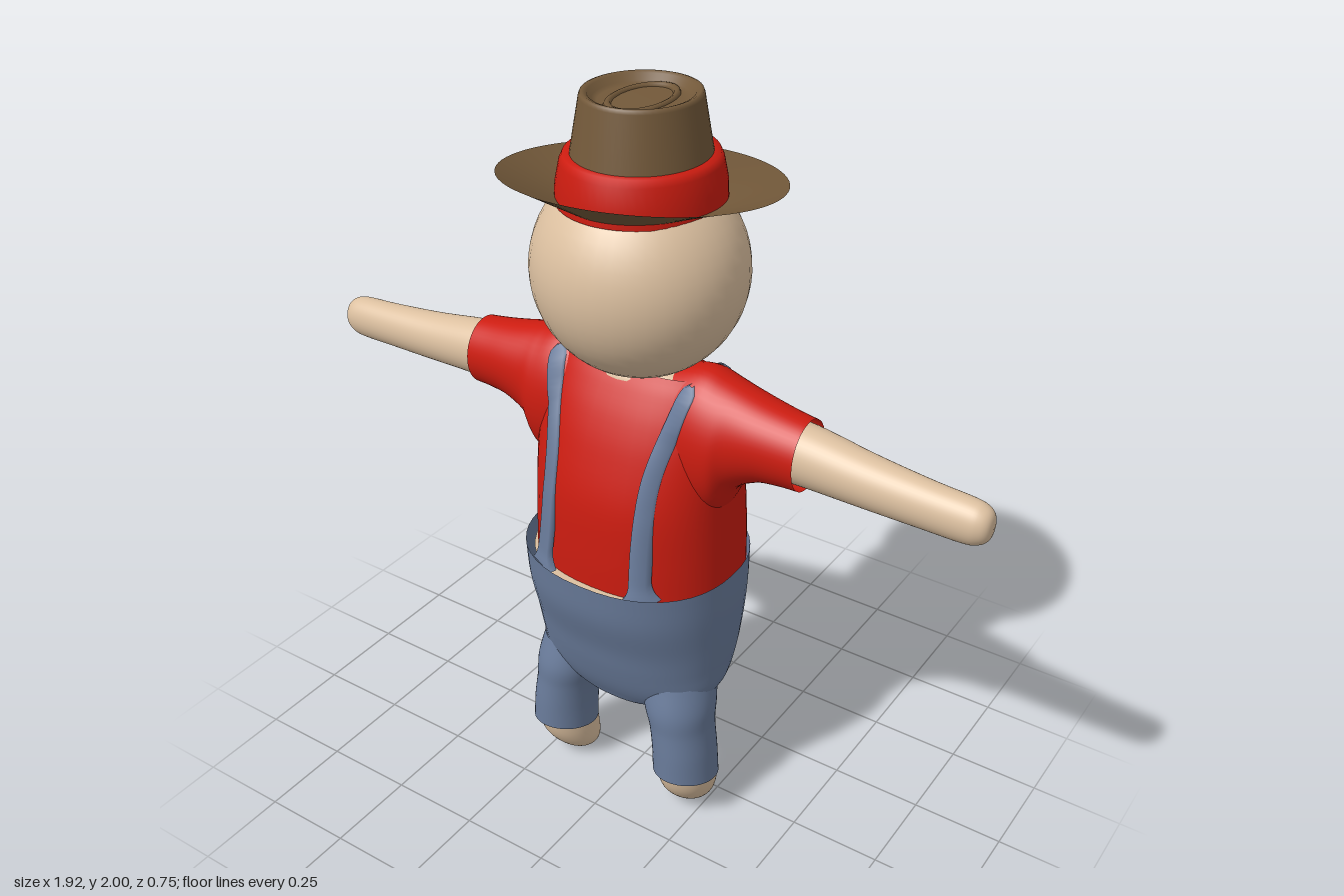
import * as THREE from 'three';

const paint = (color) => new THREE.MeshStandardMaterial({ color, side: THREE.DoubleSide });

// Closed loft through rings [centre x, y, z, half width, half depth].
// Axis 'y': section lies in x/z, rings run upward. Axis 'x': section lies in z/y, rings run to +x.
function loft(rings, axis = 'y', power = 2, steps = 32, sides = 48) {
  const centres = new THREE.CatmullRomCurve3(rings.map((r) => new THREE.Vector3(r[0], r[1], r[2])), false, 'catmullrom');
  const sizes = new THREE.CatmullRomCurve3(rings.map((r) => new THREE.Vector3(r[3], r[4], 0)), false, 'catmullrom');
  const pos = [], index = [];
  const bulge = (v) => Math.sign(v) * Math.abs(v) ** (2 / power);
  for (let i = 0; i <= steps; i++) {
    const c = centres.getPoint(i / steps), s = sizes.getPoint(i / steps);
    for (let j = 0; j < sides; j++) {
      const a = (j / sides) * Math.PI * 2;
      const u = s.x * bulge(Math.cos(a)), v = s.y * bulge(Math.sin(a));
      if (axis === 'y') pos.push(c.x + u, c.y, c.z + v);
      else pos.push(c.x, c.y + v, c.z + u);
      if (i < steps) {
        const k = (j + 1) % sides, p = i * sides, q = p + sides;
        index.push(p + j, q + j, p + k, q + j, q + k, p + k);
      }
    }
  }
  return finish(pos, index);
}

function finish(pos, index) {
  const g = new THREE.BufferGeometry();
  g.setAttribute('position', new THREE.Float32BufferAttribute(pos, 3));
  g.setIndex(index);
  g.computeVertexNormals();
  return g;
}

// Raised ribbon laid on the given meshes, seen from dir (+1 or -1 along z)
function strapGeometry(meshes, side, dir) {
  const path = new THREE.CatmullRomCurve3([
    [0.195, 1.335], [0.175, 1.24], [0.148, 1.1], [0.143, 0.95], [0.145, 0.85], [0.15, 0.775],
  ].map(([x, y]) => new THREE.Vector3(x * side, y, 0)));
  const ray = new THREE.Raycaster();
  const section = [[-1, -0.012], [-0.85, 0.011], [0.85, 0.011], [1, -0.012]];
  const pos = [], index = [], n = 36;
  for (let i = 0; i <= n; i++) {
    const t = i / n, p = path.getPoint(t), tan = path.getTangent(t);
    const round = Math.sqrt(Math.min(1, t / 0.04 + 0.05));
    const width = 0.023 * round + 0.022 * Math.max(0, (t - 0.86) / 0.14) ** 2;
    const lift = (dir > 0 ? 0.028 : 0.006) * Math.max(0, (t - 0.5) / 0.5);
    section.forEach(([u, h], j) => {
      const x = p.x - tan.y * u * width, y = p.y + tan.x * u * width;
      ray.set(new THREE.Vector3(x, y, 2 * dir), new THREE.Vector3(0, 0, -dir));
      const hit = ray.intersectObjects(meshes)[0];
      pos.push(x, y, (hit ? hit.point.z : 0.03) + dir * (h + lift));
      if (i < n && j < 3) {
        const a = i * 4 + j, b = a + 4;
        if (dir > 0) index.push(a, a + 1, b, a + 1, b + 1, b);
        else index.push(a, b, a + 1, a + 1, b, b + 1);
      }
    });
  }
  return finish(pos, index);
}

export function createModel() {
  const model = new THREE.Group();
  model.name = 'strawHatFigure';
  const skin = paint(0xdcc0a0), red = paint(0xcc1c10), denim = paint(0x6a7c9b);
  const felt = paint(0x73593a), black = paint(0x0a0a0a);
  const add = (name, geometry, material, parent = model) => {
    const m = new THREE.Mesh(geometry, material);
    m.name = name;
    parent.add(m);
    return m;
  };
  const ball = (name, r, at, scale, material) => {
    const m = add(name, new THREE.SphereGeometry(r, 40, 28), material);
    m.position.set(...at);
    m.scale.set(...scale);
    return m;
  };

  // Head and face, looking toward -z
  ball('head', 0.27, [0, 1.57, 0.02], [1, 1, 0.965], skin);
  ball('nose', 0.024, [0, 1.51, -0.235], [1, 1, 1], skin);
  for (const s of [-1, 1]) {
    ball('eye', 0.039, [0.12 * s, 1.572, -0.222], [1, 1, 0.7], black).rotation.y = s * -0.45;
  }
  ball('neck', 1, [0, 1.297, 0.025], [0.19, 0.06, 0.1], skin);

  // Shirt body
  const shirt = add('shirt', loft([
    [0, 0.75, 0.015, 0.282, 0.232], [0, 0.86, 0.015, 0.279, 0.232], [0, 1.0, 0.018, 0.275, 0.22],
    [0, 1.13, 0.018, 0.275, 0.186], [0, 1.22, 0.02, 0.265, 0.15], [0, 1.29, 0.022, 0.245, 0.112],
    [0, 1.335, 0.026, 0.215, 0.08],
  ], 'y', 2.3), red);

  // Trousers body, open at the waist
  add('trousers', loft([
    [0, 0.325, 0.075, 0.02, 0.02], [0, 0.338, 0.072, 0.13, 0.085], [0, 0.37, 0.055, 0.225, 0.125],
    [0, 0.42, 0.045, 0.268, 0.158], [0, 0.49, 0.03, 0.28, 0.195], [0, 0.57, 0.027, 0.288, 0.218],
    [0, 0.68, 0.03, 0.294, 0.25], [0, 0.79, 0.033, 0.295, 0.262],
  ], 'y', 2.3), denim);
  const waist = add('waist', new THREE.CircleGeometry(1, 48).rotateX(-Math.PI / 2), skin);
  waist.scale.set(0.285, 1, 0.25);
  waist.position.set(0, 0.76, 0.033);

  // Limbs, mirrored left and right
  const sleeve = loft([
    [0.1, 1.17, 0.02, 0.12, 0.17], [0.2, 1.165, 0.022, 0.125, 0.195], [0.265, 1.167, 0.025, 0.12, 0.18],
    [0.305, 1.2, 0.027, 0.105, 0.137], [0.37, 1.213, 0.029, 0.094, 0.109],
    [0.43, 1.213, 0.03, 0.086, 0.098], [0.485, 1.21, 0.03, 0.081, 0.093],
  ], 'x');
  const arm = loft([
    [0.4, 1.213, 0.03, 0.073, 0.082], [0.5, 1.21, 0.03, 0.07, 0.077], [0.65, 1.2, 0.035, 0.06, 0.067],
    [0.8, 1.194, 0.04, 0.051, 0.06], [0.9, 1.19, 0.04, 0.047, 0.057], [0.935, 1.19, 0.04, 0.041, 0.049],
    [0.954, 1.19, 0.04, 0.026, 0.032], [0.96, 1.19, 0.04, 0, 0],
  ], 'x');
  const leg = loft([
    [0.205, 0.135, 0.1, 0.087, 0.1], [0.2, 0.22, 0.1, 0.085, 0.1], [0.19, 0.3, 0.098, 0.085, 0.1],
    [0.178, 0.37, 0.09, 0.095, 0.108], [0.16, 0.45, 0.07, 0.1, 0.11],
  ]);
  // Slant the hem so it is lower toward -z
  const lp = leg.attributes.position;
  for (let i = 0; i < lp.count; i++) {
    const fade = Math.max(0, 1 - (lp.getY(i) - 0.135) / 0.2);
    lp.setY(i, lp.getY(i) + 0.22 * (lp.getZ(i) - 0.1) * fade);
  }
  leg.computeVertexNormals();
  const foot = loft([
    [0.187, 0.005, 0.05, 0, 0], [0.19, 0.018, 0.055, 0.045, 0.042], [0.195, 0.05, 0.068, 0.07, 0.067],
    [0.202, 0.1, 0.084, 0.08, 0.084], [0.205, 0.16, 0.096, 0.081, 0.087], [0.2, 0.22, 0.1, 0.076, 0.085],
  ]);
  const sleeves = [];
  for (const s of [1, -1]) {
    const half = new THREE.Group();
    half.name = s > 0 ? 'leftLimbs' : 'rightLimbs';
    half.scale.x = s;
    model.add(half);
    sleeves.push(add('sleeve', sleeve, red, half));
    add('arm', arm, skin, half);
    add('trouserLeg', leg, denim, half);
    add('foot', foot, skin, half);
  }

  // Braces on both faces of the shirt
  model.updateMatrixWorld(true);
  for (const s of [1, -1]) for (const d of [1, -1]) {
    add('strap', strapGeometry([shirt, ...sleeves], s, d), denim);
  }

  // Hat brim, swept up toward +z
  const brim = new THREE.RingGeometry(0.45, 1, 72, 12).rotateX(-Math.PI / 2);
  const bp = brim.attributes.position;
  for (let i = 0; i < bp.count; i++) {
    const x = bp.getX(i), z = bp.getZ(i), r = Math.hypot(x, z), s = z / r;
    const k = Math.max(0, (r - 0.55) / 0.45);
    bp.setXYZ(i, x * 0.325, 1.748 + k * (0.042 + 0.06 * s + 0.005 * s * s), z * 0.375);
  }
  brim.computeVertexNormals();
  add('hatBrim', brim, felt);

  // Hat crown with a dented top, and its band
  const lathe = (pts) => new THREE.LatheGeometry(pts.map(([x, y]) => new THREE.Vector2(x, y)), 56);
  const crown = add('hatCrown', lathe([
    [0.18, 1.76], [0.165, 1.85], [0.141, 1.99], [0.138, 1.998], [0.132, 2.0], [0.122, 1.996],
    [0.112, 1.982], [0.1, 1.976], [0.075, 1.978], [0, 1.978],
  ]), felt);
  const ridge = add('crownRidge', new THREE.TorusGeometry(0.075, 0.009, 8, 48).rotateX(Math.PI / 2), felt);
  ridge.scale.set(0.85, 1, 1.4);
  ridge.position.set(0, 1.977, 0.01);
  const band = add('hatBand', lathe([[0.2, 1.745], [0.198, 1.79], [0.188, 1.84], [0.18, 1.857], [0.16, 1.858]]), red);
  for (const m of [crown, band]) {
    m.scale.z = 1.06;
    m.position.z = 0.012;
  }
  return model;
}
